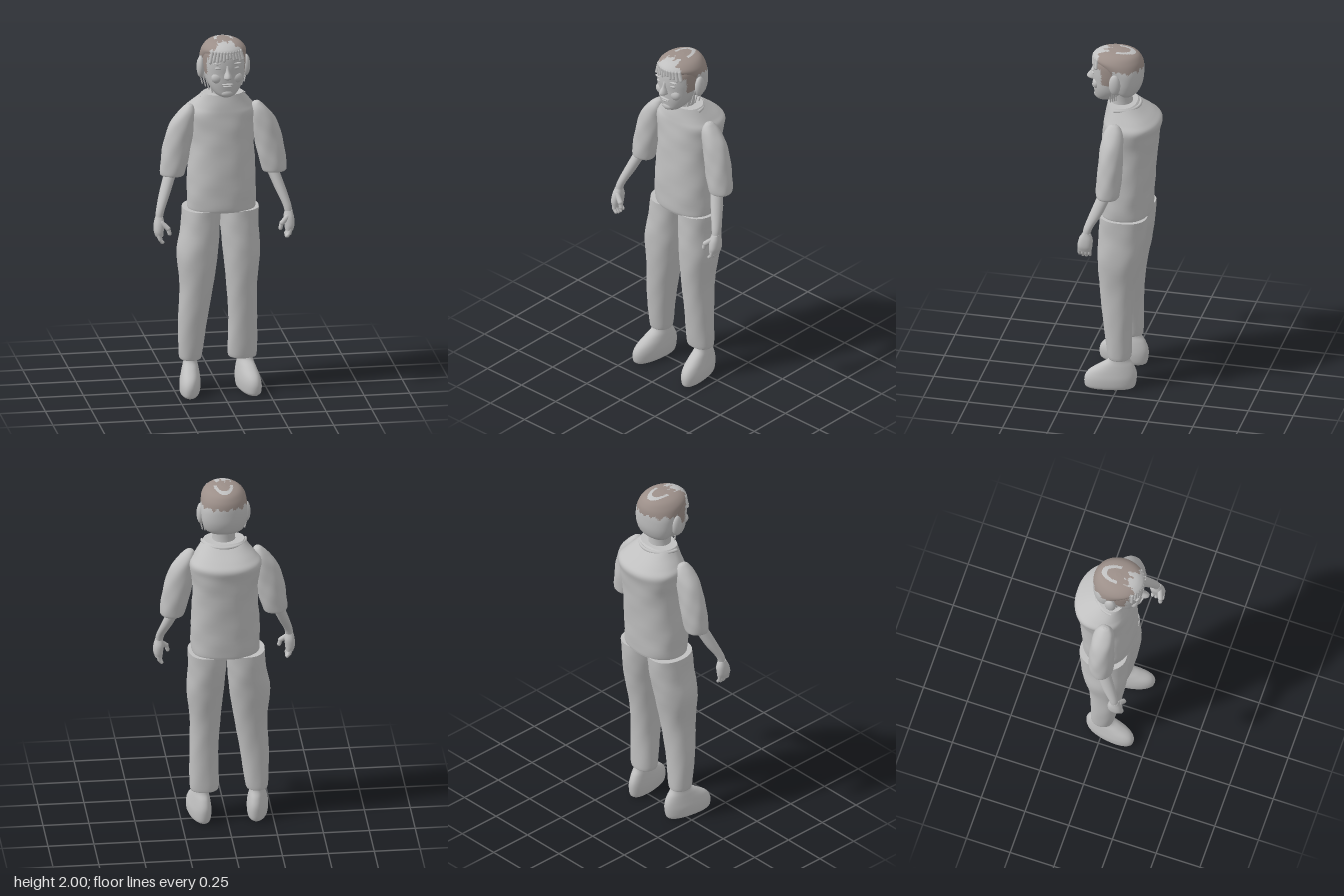
import * as THREE from 'three';

const grey = new THREE.MeshStandardMaterial({ color: 0xc0c0c0 });
grey.name = 'light grey';
const brown = new THREE.MeshStandardMaterial({ color: 0x9c8f89 });
brown.name = 'hair brown';
const V = (x, y, z) => new THREE.Vector3(x, y, z);

// Smooth closed body through rings [y, xMin, xMax, zBack, zFront], listed from bottom to top.
function loft(name, rings, { seg = 40, steps = 5, power = 2, fold = 0, shear = 0, pick = null } = {}) {
  const centre = new THREE.CatmullRomCurve3(
    rings.map(([y, a, b, c, d]) => V((a + b) / 2, y, (c + d) / 2)), false, 'catmullrom');
  const radius = new THREE.CatmullRomCurve3(
    rings.map(([, a, b, c, d]) => V((b - a) / 2, 0, (d - c) / 2)), false, 'catmullrom');
  const rows = (rings.length - 1) * steps;
  const pos = [], parts = [[], []];
  const round = v => Math.sign(v) * Math.abs(v) ** (2 / power);
  for (let i = 0; i <= rows; i++) {
    const c = centre.getPoint(i / rows), r = radius.getPoint(i / rows);
    for (let j = 0; j < seg; j++) {
      const a = j / seg * Math.PI * 2;
      const k = 1 + fold * (Math.sin(c.y * 55 + 3 * a) + Math.sin(c.y * 31 - 5 * a));
      const z = c.z + r.z * round(Math.cos(a)) * k;
      pos.push(c.x + r.x * round(Math.sin(a)) * k + shear * z, c.y, z);
    }
  }
  const tri = (...t) => {
    const mid = n => (pos[t[0] * 3 + n] + pos[t[1] * 3 + n] + pos[t[2] * 3 + n]) / 3;
    parts[pick && pick(mid(0), mid(1), mid(2)) ? 1 : 0].push(...t);
  };
  for (let i = 0; i < rows; i++) {
    for (let j = 0; j < seg; j++) {
      const a = i * seg + j, b = i * seg + (j + 1) % seg;
      tri(a, b, b + seg);
      tri(a, b + seg, a + seg);
    }
  }
  // flat end caps with their own vertices
  for (const row of [0, rows]) {
    const start = pos.length / 3, c = centre.getPoint(row / rows);
    pos.push(...pos.slice(row * seg * 3, (row + 1) * seg * 3), c.x + shear * c.z, c.y, c.z);
    for (let j = 0; j < seg; j++) {
      const a = start + j, b = start + (j + 1) % seg;
      if (row) tri(a, b, start + seg); else tri(b, a, start + seg);
    }
  }
  const geo = new THREE.BufferGeometry();
  geo.setAttribute('position', new THREE.Float32BufferAttribute(pos, 3));
  geo.setIndex([...parts[0], ...parts[1]]);
  geo.addGroup(0, parts[0].length, 0);
  geo.addGroup(parts[0].length, parts[1].length, 1);
  geo.computeVertexNormals();
  const mesh = new THREE.Mesh(geo, pick ? [grey, brown] : grey);
  mesh.name = name;
  return mesh;
}

function blob(name, x, y, z, rx, ry, rz) {
  const mesh = new THREE.Mesh(new THREE.SphereGeometry(1, 20, 14), grey);
  mesh.position.set(x, y, z);
  mesh.scale.set(rx, ry, rz);
  mesh.name = name;
  return mesh;
}

// Rounded finger or strand between two points
function rod(name, a, b, r) {
  const mesh = new THREE.Mesh(new THREE.CapsuleGeometry(r, a.distanceTo(b), 4, 10), grey);
  mesh.position.copy(a).lerp(b, 0.5);
  mesh.quaternion.setFromUnitVectors(V(0, 1, 0), b.clone().sub(a).normalize());
  mesh.name = name;
  return mesh;
}

const mirrorRings = (rings, s, shift) => rings.map(([y, a, b, c, d]) =>
  s > 0 ? [y, a + shift, b + shift, c, d] : [y, -b + shift, -a + shift, c, d]);

// Brown cap, sideburns and the light crown and fringe patches
function isBrown(x, y, z) {
  const u = x - 0.015, jag = 0.008 * Math.sin(u * 160) + 0.005 * Math.sin(z * 190 + u * 70);
  if (Math.abs(u) > 0.075 && z > 0.035 && z < 0.1 && y > 1.82) return true;
  if (y < 1.91 + jag || z > 0.125 + jag) return false;
  if (z > 0.085 + jag * 2 && Math.abs(u) < 0.045) return false;
  const e = (u / 0.052) ** 2 + ((z - 0.03) / 0.1) ** 2;
  return !(y > 1.95 && z < 0.03 && e > 0.5 && e < 1);
}

function makeHead() {
  const head = new THREE.Group();
  head.name = 'head';
  const cx = 0.015;
  const sym = rings => rings.map(([y, r, back, front]) => [y, cx - r, cx + r, back, front]);
  head.add(loft('neck', sym([[1.62, 0.075, -0.06, 0.08], [1.7, 0.062, -0.05, 0.07], [1.78, 0.065, -0.05, 0.08]])));
  head.add(loft('face', sym([
    [1.695, 0.025, 0.09, 0.135], [1.71, 0.055, 0.04, 0.152], [1.74, 0.08, 0, 0.158],
    [1.78, 0.099, -0.04, 0.163], [1.83, 0.11, -0.07, 0.165], [1.88, 0.115, -0.09, 0.168],
    [1.94, 0.112, -0.09, 0.162], [1.975, 0.085, -0.06, 0.13]]), { seg: 64, power: 2.2, pick: isBrown }));
  head.add(loft('hair', sym([
    [1.745, 0.075, -0.065, 0.01], [1.77, 0.105, -0.09, 0.035], [1.82, 0.122, -0.107, 0.06],
    [1.88, 0.126, -0.112, 0.085], [1.925, 0.124, -0.11, 0.14], [1.955, 0.115, -0.1, 0.168],
    [1.98, 0.092, -0.08, 0.147], [1.994, 0.058, -0.045, 0.11], [2, 0.012, 0.01, 0.04]]),
  { seg: 80, steps: 8, pick: isBrown }));
  // nose and mouth
  head.add(loft('nose', sym([[1.805, 0.014, 0.14, 0.178], [1.815, 0.022, 0.14, 0.201],
    [1.83, 0.019, 0.14, 0.2], [1.855, 0.011, 0.14, 0.182], [1.885, 0.01, 0.14, 0.17]]), { seg: 20 }));
  head.add(blob('upperLip', cx, 1.776, 0.16, 0.032, 0.006, 0.013));
  head.add(blob('lowerLip', cx, 1.764, 0.158, 0.026, 0.007, 0.013));
  head.add(blob('chin', cx, 1.722, 0.142, 0.034, 0.022, 0.02));
  for (const s of [-1, 1]) {
    head.add(blob('eye', cx + s * 0.045, 1.867, 0.151, 0.022, 0.009, 0.013));
    head.add(blob('brow', cx + s * 0.048, 1.893, 0.153, 0.03, 0.006, 0.012));
    head.add(blob('cheek', cx + s * 0.05, 1.808, 0.135, 0.035, 0.032, 0.025));
    head.add(blob('sideHair', cx + s * 0.125, 1.84, 0.02, 0.022, 0.06, 0.032));
    // loose strands beside the jaw
    for (let i = 0; i < 4; i++) {
      head.add(rod('strand', V(cx + s * (0.13 - i * 0.012), 1.81, 0.01 + i * 0.015),
        V(cx + s * (0.115 - i * 0.016), 1.745 - i * 0.013, 0.015 + i * 0.014), 0.004));
    }
  }
  // fringe locks with a ragged lower edge
  for (let i = -5; i <= 5; i++) {
    const u = i * 0.017, z = 0.162 - u * u * 4.5;
    head.add(rod('fringeLock', V(cx + u * 0.9, 1.955, z),
      V(cx + u * 1.05, 1.925 + 0.008 * (i % 2) - Math.abs(u) * 0.25, z + 0.002), 0.009));
  }
  return head;
}

function makeArm(s) {
  const arm = new THREE.Group();
  arm.name = s > 0 ? 'leftArm' : 'rightArm';
  arm.add(loft('sleeve', mirrorRings([
    [1.235, 0.218, 0.338, -0.035, 0.078], [1.25, 0.212, 0.347, -0.042, 0.086],
    [1.32, 0.192, 0.342, -0.05, 0.086], [1.42, 0.172, 0.326, -0.052, 0.081],
    [1.52, 0.156, 0.293, -0.05, 0.074], [1.585, 0.152, 0.245, -0.04, 0.062],
    [1.62, 0.163, 0.21, -0.02, 0.04], [1.63, 0.18, 0.195, 0, 0.02]], s, 0.014), { fold: 0.012 }));
  arm.add(loft('forearm', mirrorRings([
    [1.03, 0.334, 0.376, 0.105, 0.148], [1.07, 0.323, 0.37, 0.09, 0.14],
    [1.15, 0.287, 0.347, 0.042, 0.112], [1.26, 0.242, 0.31, -0.005, 0.07]], s, 0), { seg: 24 }));
  arm.add(loft('palm', mirrorRings([
    [0.93, 0.335, 0.378, 0.098, 0.172], [0.96, 0.332, 0.386, 0.092, 0.175],
    [1, 0.328, 0.384, 0.092, 0.166], [1.035, 0.334, 0.376, 0.105, 0.148]], s, 0), { seg: 24, power: 2.3 }));
  // four fingers and a thumb
  for (let i = 0; i < 4; i++) {
    const z = 0.106 + i * 0.019, tip = 0.9 - 0.007 * Math.sin(i * 1.1);
    arm.add(rod('finger', V(s * 0.362, 0.945, z), V(s * 0.355, 0.915, z + 0.002), 0.0105));
    arm.add(rod('fingertip', V(s * 0.355, 0.915, z + 0.002), V(s * 0.342, tip, z + 0.003), 0.0095));
  }
  arm.add(rod('thumb', V(s * 0.345, 1.005, 0.15), V(s * 0.312, 0.975, 0.164), 0.014));
  arm.add(rod('thumbTip', V(s * 0.312, 0.975, 0.164), V(s * 0.304, 0.948, 0.166), 0.0115));
  return arm;
}

export function createModel() {
  const model = new THREE.Group();
  model.name = 'figure';

  model.add(loft('shirt', [
    [1.03, -0.172, 0.193, -0.155, 0.115], [1.06, -0.176, 0.197, -0.16, 0.12],
    [1.2, -0.176, 0.197, -0.167, 0.123], [1.4, -0.163, 0.189, -0.184, 0.115],
    [1.52, -0.176, 0.2, -0.198, 0.107], [1.58, -0.182, 0.206, -0.206, 0.102],
    [1.615, -0.155, 0.182, -0.175, 0.096], [1.655, -0.12, 0.15, -0.122, 0.089],
    [1.69, -0.095, 0.124, -0.076, 0.082]], { seg: 56, power: 2.3, fold: 0.006 }));
  // half-round collar at the nape
  const collar = new THREE.Mesh(new THREE.TorusGeometry(0.118, 0.009, 10, 40, Math.PI), grey);
  collar.name = 'collar';
  collar.rotation.x = -Math.PI / 2;
  collar.position.set(0.014, 1.676, 0.025);
  model.add(collar);

  const legs = {
    right: [[0.18, -0.212, -0.112, -0.062, 0.05], [0.205, -0.225, -0.1, -0.068, 0.06],
      [0.4, -0.23, -0.073, -0.072, 0.085], [0.6, -0.222, -0.04, -0.09, 0.106],
      [0.78, -0.236, -0.013, -0.122, 0.117], [0.92, -0.212, -0.002, -0.145, 0.113],
      [1.035, -0.203, 0.008, -0.153, 0.108]],
    left: [[0.18, 0.06, 0.188, -0.062, 0.05], [0.205, 0.043, 0.202, -0.068, 0.06],
      [0.4, 0.046, 0.202, -0.072, 0.085], [0.6, 0.034, 0.2, -0.09, 0.106],
      [0.78, 0.018, 0.218, -0.122, 0.117], [0.92, 0.006, 0.212, -0.145, 0.113],
      [1.035, 0, 0.214, -0.153, 0.108]],
  };
  for (const side of ['right', 'left']) {
    const s = side === 'left' ? 1 : -1;
    model.add(loft(side + 'TrouserLeg', legs[side], { power: 2.2, fold: 0.005 }));
    // shoe, splayed outwards towards the toe
    model.add(loft(side + 'Shoe', mirrorRings([
      [0, 0.112, 0.195, -0.075, 0.165], [0.015, 0.1, 0.21, -0.092, 0.178],
      [0.06, 0.096, 0.212, -0.1, 0.18], [0.1, 0.1, 0.205, -0.098, 0.158],
      [0.14, 0.108, 0.196, -0.082, 0.1], [0.175, 0.116, 0.188, -0.06, 0.05],
      [0.22, 0.116, 0.188, -0.055, 0.045]], s, -0.012), { power: 2.2, shear: s * 0.14 }));
    model.add(makeArm(s));
  }
  model.add(makeHead());
  return model;
}
